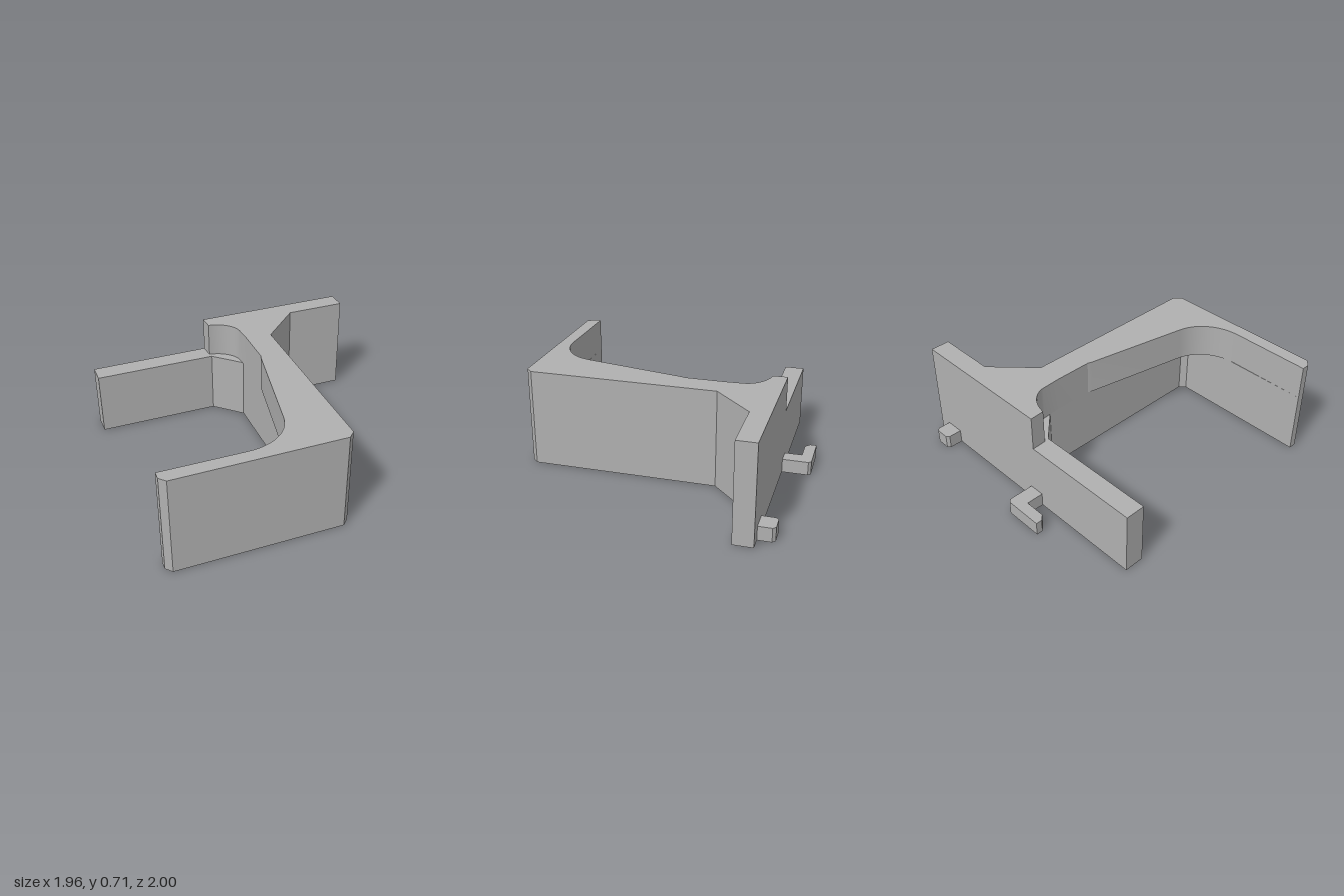
import * as THREE from 'three';
import { toCreasedNormals } from 'three/addons/utils/BufferGeometryUtils.js';

const STEP = 0.46, TOP = 0.71, HOOK = 0.1;

// Plan outline from [x, z] points; a four-number or six-number entry is a curve.
function outline(points) {
  const s = new THREE.Shape();
  points.forEach((p, i) => {
    if (i === 0) s.moveTo(p[0], -p[1]);
    else if (p.length === 6) s.bezierCurveTo(p[0], -p[1], p[2], -p[3], p[4], -p[5]);
    else s.lineTo(p[0], -p[1]);
  });
  s.closePath();
  return s;
}

export function createModel() {
  const group = new THREE.Group();
  const grey = new THREE.MeshStandardMaterial({ color: 0xb0b0b0 });
  grey.name = 'grey plastic';

  // Raise a plan outline from y0 to y1
  function slab(name, y0, y1, points) {
    const geo = new THREE.ExtrudeGeometry(outline(points), {
      depth: y1 - y0, bevelEnabled: false, curveSegments: 20,
    });
    geo.rotateX(-Math.PI / 2);
    geo.translate(0, y0, 0);
    const mesh = new THREE.Mesh(toCreasedNormals(geo, 0.3), grey);
    mesh.name = name;
    group.add(mesh);
  }

  // Outer side shared by both levels: front plate, stem, brace, back plate
  const outer = [
    [-0.98, 0.9], [-0.98, 0.955], [-0.94, 1], [0.23, 1], [0.275, 0.955],
    [0.275, -0.385], [0.55, -0.655], [0.98, -0.655], [0.98, -0.795],
  ];

  // Lower level: full back plate and straight stem
  slab('lowerBody', 0, STEP, [
    ...outer,
    [-0.98, -0.795], [-0.98, -0.655], [-0.1, -0.655], [0.09, -0.475],
    [0.09, 0.865], [0.05, 0.903],
  ]);

  // Upper level: shortened back plate, tapered stem and rounded corners
  slab('upperBody', STEP, TOP, [
    ...outer,
    [-0.113, -0.795], [-0.107, -0.69],
    [-0.01, -0.68, 0.075, -0.61, 0.083, -0.53],
    [0.09, -0.4], [0.09, -0.12], [0.08, -0.09], [-0.065, 0.65],
    [-0.1, 0.82, -0.25, 0.905, -0.4, 0.905],
  ]);

  // Small mounting parts behind the back plate
  slab('mountingHook', 0, HOOK, [
    [-0.065, -0.79], [-0.065, -0.98], [-0.085, -1], [-0.36, -1],
    [-0.36, -0.955], [-0.325, -0.92], [-0.175, -0.92], [-0.175, -0.79],
  ]);
  slab('mountingPeg', 0, HOOK, [
    [0.885, -0.79], [0.885, -0.89], [0.865, -0.91], [0.77, -0.91],
    [0.75, -0.89], [0.75, -0.79],
  ]);
  return group;
}
